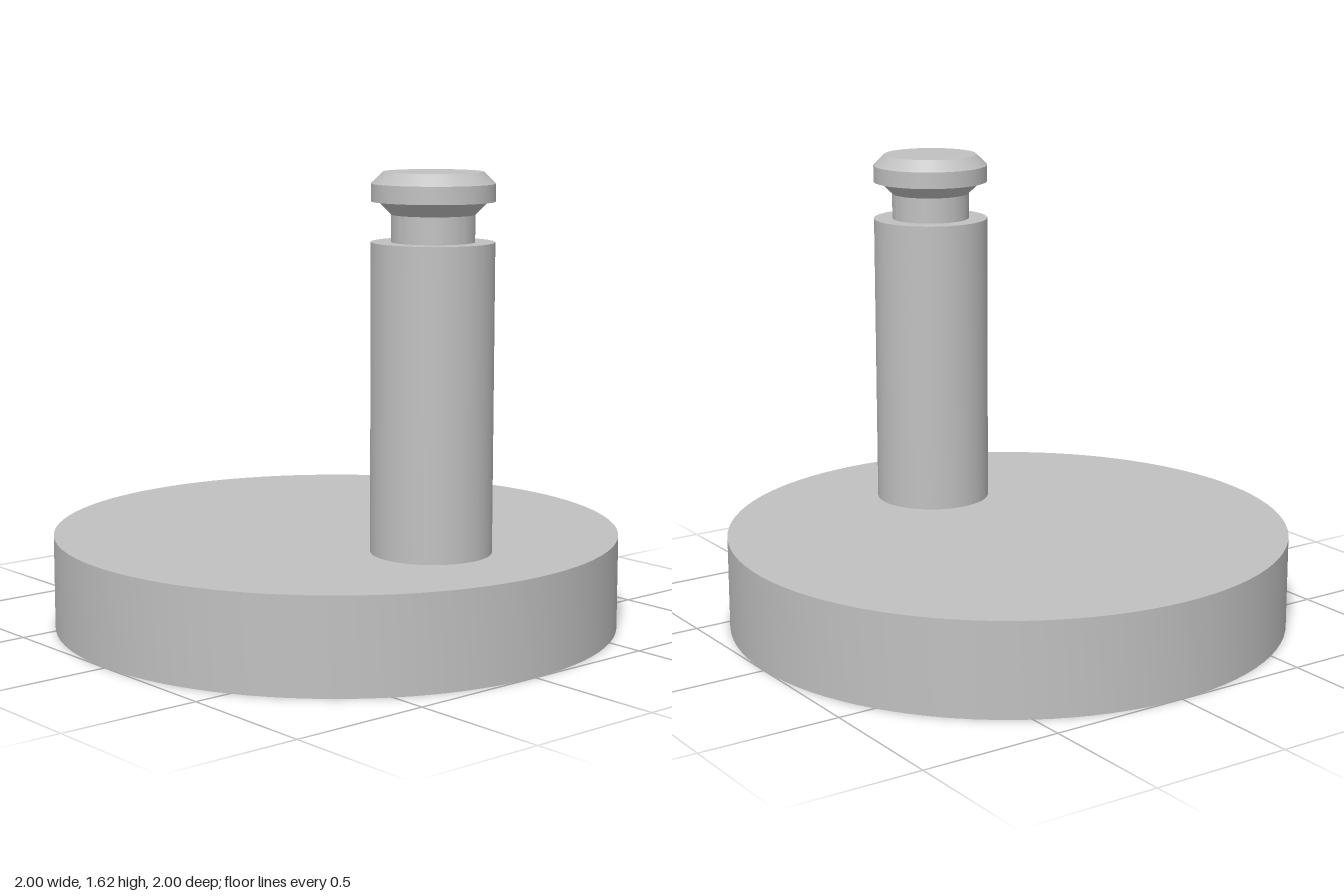
import * as THREE from 'three';
import { toCreasedNormals } from 'three/addons/utils/BufferGeometryUtils.js';

const ROUND = 96;

// Turned part with crisp edges; sides = 6 gives a hexagonal part with corners on the x axis
function turned(name, material, profile, sides = ROUND) {
  const points = profile.map(([r, y]) => new THREE.Vector2(r, y));
  const start = sides === 6 ? Math.PI / 6 : 0;
  const geometry = toCreasedNormals(new THREE.LatheGeometry(points, sides, start), 0.6);
  const mesh = new THREE.Mesh(geometry, material);
  mesh.name = name;
  return mesh;
}

export function createModel() {
  const group = new THREE.Group();
  group.name = 'crankDisc';
  const grey = new THREE.MeshStandardMaterial({ color: 0xc0c0c0 });
  grey.name = 'grey';

  const height = 0.333;
  const socketRadius = 0.413;

  // Disc rim and top face
  group.add(turned('disc', grey, [[1, 0], [1, height], [0, height]]));

  // Underside with a hexagonal opening
  const shape = new THREE.Shape().absarc(0, 0, 1, 0, Math.PI * 2);
  const corners = Array.from({ length: 6 }, (_, i) => {
    const a = (i * Math.PI) / 3;
    return new THREE.Vector2(Math.cos(a) * socketRadius, Math.sin(a) * socketRadius);
  });
  shape.holes.push(new THREE.Path(corners));
  const underside = new THREE.Mesh(new THREE.ShapeGeometry(shape, ROUND).rotateX(Math.PI / 2), grey);
  underside.name = 'underside';
  group.add(underside);

  // Blind hexagonal socket, listed from floor to chamfered mouth so it faces inwards
  group.add(turned('hexSocket', grey, [
    [0, 0.247], [0.385, 0.247], [0.385, 0.028], [socketRadius, 0],
  ], 6));

  // Off-centre pin with a grooved neck and chamfered head
  const pin = turned('pin', grey, [
    [0.207, height], [0.207, 1.385], [0.14, 1.385], [0.14, 1.476], [0.184, 1.52],
    [0.207, 1.52], [0.207, 1.579], [0.168, 1.618], [0, 1.618],
  ]);
  pin.position.x = 0.498;
  group.add(pin);

  return group;
}
